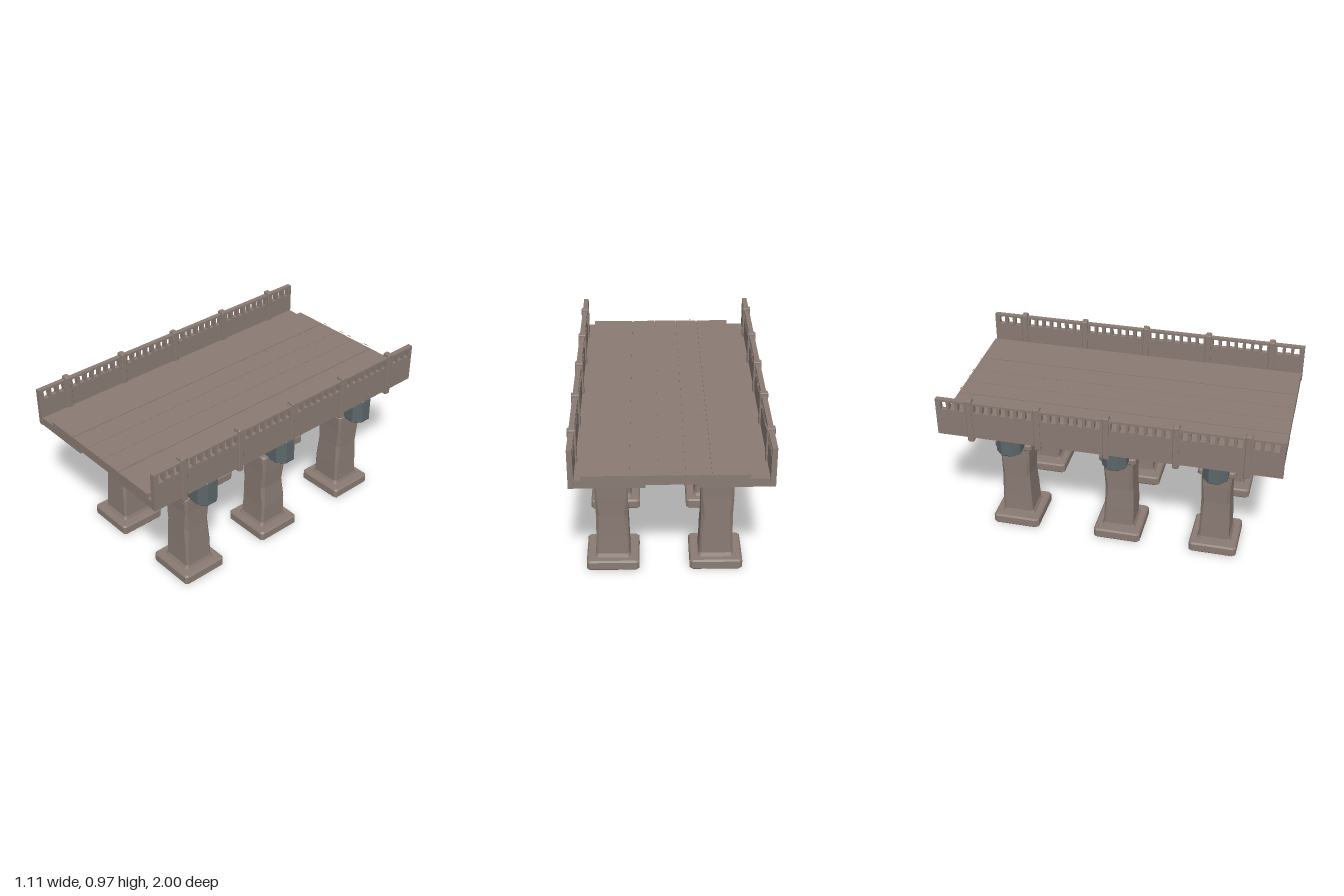
import * as THREE from 'three';

const stone = new THREE.MeshStandardMaterial({ color: 0x8a7b74 });
stone.name = 'weathered stone';
const steel = new THREE.MeshStandardMaterial({ color: 0x5c666a });
steel.name = 'blue grey beam';

// Small seeded random source
let seed = 7;
const rnd = () => (seed = (seed * 16807) % 2147483647) / 2147483647;

// Faceted solid from stacked chamfered rectangles: [y, halfX, halfZ, chamfer, shiftX, shiftZ]
function loft(rings) {
  const loops = rings.map(([y, a, b, c, dx = 0, dz = 0]) =>
    [[a, c - b], [a, b - c], [a - c, b], [c - a, b], [-a, b - c], [-a, c - b], [c - a, -b], [a - c, -b]]
      .map(([x, z]) => [x + dx, y, z + dz]));
  const pos = [];
  const tri = (...p) => p.forEach((v) => pos.push(...v));
  for (let r = 0; r < loops.length - 1; r++) {
    for (let i = 0; i < 8; i++) {
      const j = (i + 1) % 8, lo = loops[r], up = loops[r + 1];
      tri(lo[i], up[i], lo[j]);
      tri(lo[j], up[i], up[j]);
    }
  }
  const bottom = loops[0], top = loops[loops.length - 1];
  for (let i = 1; i < 7; i++) {
    tri(bottom[0], bottom[i], bottom[i + 1]);
    tri(top[0], top[i + 1], top[i]);
  }
  const g = new THREE.BufferGeometry();
  g.setAttribute('position', new THREE.Float32BufferAttribute(pos, 3));
  g.computeVertexNormals();
  return g;
}

function add(parent, name, geometry, material, x = 0, y = 0, z = 0) {
  const m = new THREE.Mesh(geometry, material);
  m.name = name;
  m.position.set(x, y, z);
  parent.add(m);
  return m;
}

const polygon = (pts) => new THREE.Shape(pts.map(([x, y]) => new THREE.Vector2(x, y)));

// Deck: one cross-section with raised road, joint grooves and a shallow slot underneath
function makeDeck(root) {
  const top = 0.795;
  const pts = [[-0.53, 0.72], [-0.14, 0.72], [-0.14, 0.738], [0.14, 0.738], [0.14, 0.72], [0.53, 0.72],
    [0.53, 0.77], [0.48, 0.77], [0.48, top]];
  for (const [x, w] of [[0.222, 0.003], [0.072, 0.0015], [-0.07, 0.0015], [-0.209, 0.003]]) {
    pts.push([x + w, top], [x + w, top - 0.008], [x - w, top - 0.008], [x - w, top]);
  }
  pts.push([-0.415, top], [-0.415, 0.77], [-0.53, 0.77]);
  const g = new THREE.ExtrudeGeometry(polygon(pts), { depth: 1.99, bevelEnabled: false });
  add(root, 'deck', g, stone, 0, 0, -0.995);
}

// Grit and short chips lying just over the middle lanes
function makeGrit(root) {
  const chips = new THREE.Group();
  chips.name = 'roadGrit';
  const speck = new THREE.BoxGeometry(0.006, 0.001, 0.005);
  const chip = new THREE.BoxGeometry(0.028, 0.001, 0.004);
  for (let i = 0; i < 130; i++) {
    add(chips, 'speck', speck, stone, -0.195 + rnd() * 0.39, 0.81, -0.98 + rnd() * 1.96).rotation.y = rnd() * 3;
  }
  for (const z of [-0.99, -0.755, -0.455, -0.36, -0.12, 0.18]) {
    for (const x of [-0.175, -0.03, 0.04, 0.185]) add(chips, 'chip', chip, stone, x, 0.81, z);
  }
  root.add(chips);
}

// Parapet: solid lower wall with a row of openings under the top rail, plus posts
function makeParapet(root, side) {
  const wall = new THREE.Group();
  wall.name = side > 0 ? 'leftParapet' : 'rightParapet';
  const shape = polygon([[-1, 0.722], [1, 0.722], [1, 0.955], [-1, 0.955]]);
  const postZ = [-0.8, -0.4, 0, 0.4, 0.8];
  const stops = [-1, ...postZ, 1];
  for (let b = 0; b < stops.length - 1; b++) {
    const a = stops[b] + 0.022, e = stops[b + 1] - 0.022;
    const n = b === 0 || b === 5 ? 3 : 7;
    const pitch = (e - a) / n;
    for (let i = 0; i < n; i++) {
      const l = a + i * pitch + 0.009, r = a + (i + 1) * pitch - 0.009;
      const low = 0.89 + (i % 3 === 1 ? 0.004 : 0);
      const hole = new THREE.Path([[l, low], [l, 0.942], [r, 0.942], [r, low]]
        .map(([x, y]) => new THREE.Vector2(x, y)));
      shape.holes.push(hole);
    }
  }
  const g = new THREE.ExtrudeGeometry(shape, { depth: 0.03, bevelEnabled: false });
  g.translate(0, 0, -0.015);
  g.rotateY(Math.PI / 2);
  add(wall, 'balustrade', g, stone, side * 0.533, 0, 0);
  const post = loft([[0.695, 0.021, 0.015, 0.004], [0.7, 0.024, 0.018, 0.004],
    [0.966, 0.024, 0.018, 0.004], [0.971, 0.021, 0.015, 0.004]]);
  for (const z of postZ) add(wall, 'parapetPost', post, stone, side * 0.531, 0, z);
  root.add(wall);
}

// Column: foot slab, worn shaft with flared ends, and capital
function makeColumn(root, x, z) {
  const column = new THREE.Group();
  column.name = 'column';
  column.position.set(x, 0, z);
  add(column, 'columnFoot', loft([[0, 0.143, 0.134, 0.012], [0.01, 0.152, 0.143, 0.014],
    [0.055, 0.152, 0.143, 0.014], [0.065, 0.144, 0.135, 0.012]]), stone);
  const j = () => (rnd() - 0.5) * 0.008;
  add(column, 'columnShaft', loft([
    [0.06, 0.104, 0.106, 0.014],
    [0.085, 0.096, 0.092, 0.012],
    [0.2, 0.094, 0.089, 0.012, j(), j()],
    [0.34, 0.091, 0.085, 0.02, j(), j()],
    [0.46, 0.094, 0.087, 0.012, j(), j()],
    [0.55, 0.098, 0.09, 0.014]]), stone);
  add(column, 'columnCapital', loft([[0.543, 0.104, 0.098, 0.01], [0.556, 0.118, 0.112, 0.014],
    [0.582, 0.118, 0.112, 0.014], [0.59, 0.112, 0.106, 0.012]]), stone);
  root.add(column);
}

export function createModel() {
  const root = new THREE.Group();
  root.name = 'bridgeSection';
  makeDeck(root);
  makeGrit(root);
  for (const side of [-1, 1]) makeParapet(root, side);

  // Three piers, each a pair of columns under a cross beam with chamfered ends
  const beam = loft([[0.575, 0.517, 0.068, 0.04], [0.582, 0.522, 0.073, 0.042],
    [0.726, 0.522, 0.073, 0.042], [0.732, 0.517, 0.068, 0.04]]);
  for (const z of [-0.613, 0.024, 0.613]) {
    add(root, 'crossBeam', beam, steel, 0.033, 0, z);
    for (const x of [-0.261, 0.333]) makeColumn(root, x, z);
  }
  return root;
}
